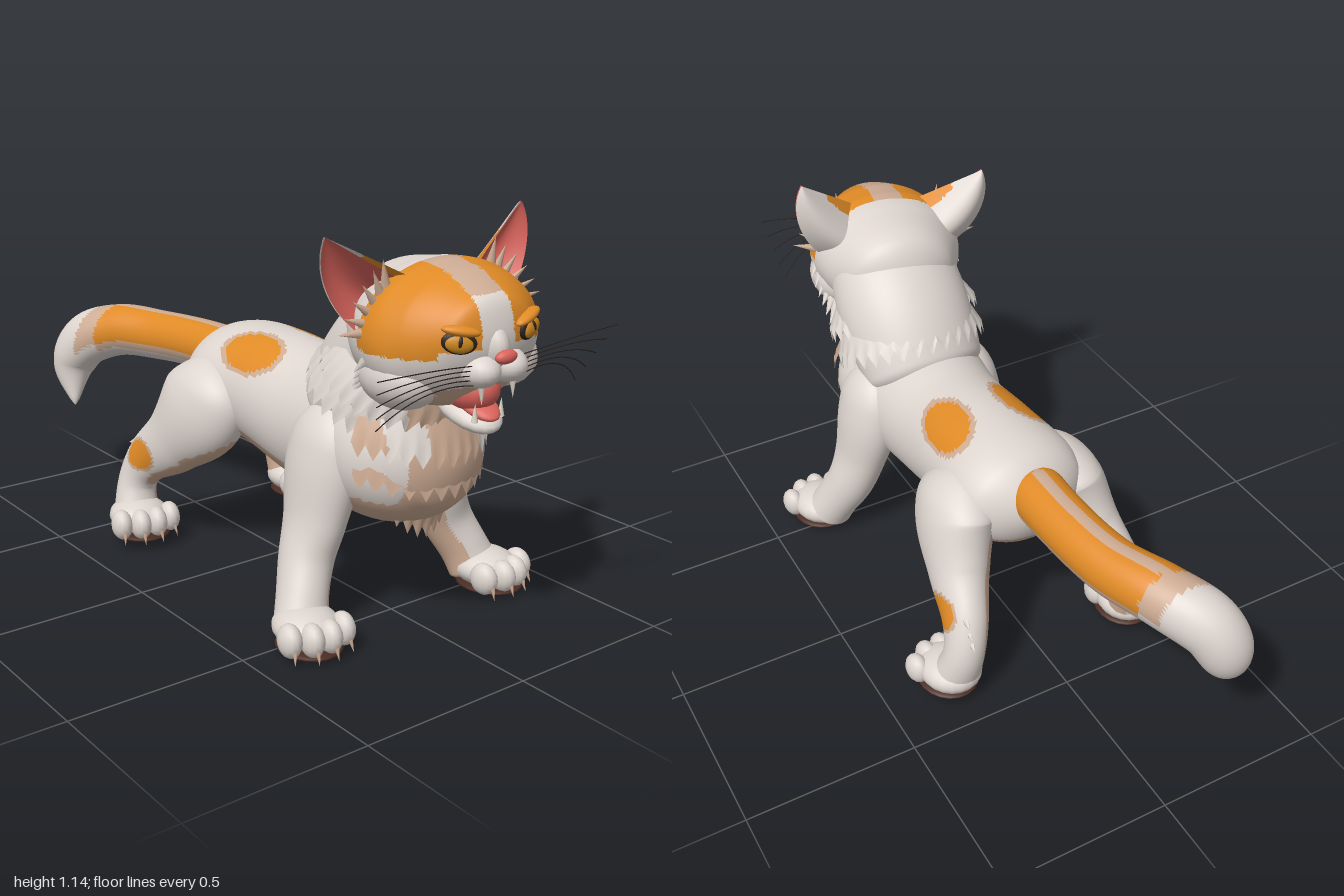
import * as THREE from 'three';

const flat = (name, color) => {
  const m = new THREE.MeshStandardMaterial({ color, side: THREE.DoubleSide });
  m.name = name;
  return m;
};
const M = {
  white: flat('white fur', 0xddd4ce), tan: flat('tan fur', 0xcdab93), orange: flat('orange fur', 0xdf8a26),
  pink: flat('pink skin', 0xd9635b), amber: flat('amber iris', 0xd08a20), dark: flat('dark lines', 0x2c211c),
  pad: flat('paw pad', 0x4a2c22), ivory: flat('ivory tooth', 0xeae2d4),
};
const V = (x, y, z = 0) => new THREE.Vector3(x, y, z);
const Z = V(0, 0, 1);

function add(parent, name, geo, mat) {
  const mesh = new THREE.Mesh(geo, mat);
  mesh.name = name;
  parent.add(mesh);
  return mesh;
}

// Grid surface from a point function; columns wrap round when closed
function grid(rows, cols, closed, point) {
  const pos = [], idx = [], n = closed ? cols : cols + 1;
  for (let i = 0; i <= rows; i++)
    for (let j = 0; j < n; j++) pos.push(...point(i / rows, j / cols, j).toArray());
  for (let i = 0; i < rows; i++)
    for (let j = 0; j < cols; j++) {
      const a = i * n + j, b = i * n + (j + 1) % n;
      idx.push(a, a + n, b, b, a + n, b + n);
    }
  const g = new THREE.BufferGeometry();
  g.setAttribute('position', new THREE.Float32BufferAttribute(pos, 3));
  g.setIndex(idx);
  g.computeVertexNormals();
  return g;
}

// Rounded sweep through stations [x, y, z, half height, half width]
function loft(stations, rows, cols, startRound = 0.1, endRound = 0.1) {
  const path = new THREE.CatmullRomCurve3(stations.map(s => V(s[0], s[1], s[2])), false, 'catmullrom', 0.5);
  const size = new THREE.CatmullRomCurve3(stations.map(s => V(s[3], s[4])), false, 'catmullrom', 0.5);
  const dome = q => Math.sqrt(Math.max(0, 1 - (1 - Math.min(1, q)) ** 2));
  return grid(rows, cols, true, (t, v) => {
    const u = 0.5 * t + 0.25 * (1 - Math.cos(Math.PI * t));
    const T = path.getTangent(u), B = Z.clone().addScaledVector(T, -T.z).normalize(), N = B.clone().cross(T);
    const k = dome(u / startRound) * dome((1 - u) / endRound), r = size.getPoint(u), a = v * Math.PI * 2;
    return path.getPoint(u).addScaledVector(N, r.x * k * Math.sin(a)).addScaledVector(B, r.y * k * Math.cos(a));
  });
}

// Sort faces into colours by a rule on face centre and normal
function paint(parent, name, geo, rule) {
  const p = geo.attributes.position, src = geo.index.array, bins = {}, tri = new THREE.Triangle();
  const c = V(0, 0), n = V(0, 0);
  for (let i = 0; i < src.length; i += 3) {
    tri.setFromAttributeAndIndices(p, src[i], src[i + 1], src[i + 2]);
    tri.getMidpoint(c);
    tri.getNormal(n);
    (bins[rule(c, n)] ??= []).push(src[i], src[i + 1], src[i + 2]);
  }
  const keys = Object.keys(bins);
  let start = 0;
  keys.forEach((k, i) => { geo.addGroup(start, bins[k].length, i); start += bins[k].length; });
  geo.setIndex(keys.flatMap(k => bins[k]));
  return add(parent, name, geo, keys.map(k => M[k]));
}

function ball(parent, name, mat, c, r, seg = 20) {
  const m = add(parent, name, new THREE.SphereGeometry(1, seg, Math.ceil(seg * 0.7)), mat);
  m.position.set(...c);
  m.scale.set(...r);
  return m;
}

function spike(parent, name, mat, base, dir, len, r) {
  const d = V(...dir).normalize();
  const m = add(parent, name, new THREE.ConeGeometry(r, len, 8), mat);
  m.quaternion.setFromUnitVectors(V(0, 1), d);
  m.position.set(...base).addScaledVector(d, len / 2);
  return m;
}

// Fur layer: band around an axis with a toothed free edge
function skirt(parent, name, c, dir, [a, b], len, flare, arc, drop, teeth, rule) {
  const D = V(...dir).normalize(), N = Z.clone().cross(D);
  const geo = grid(4, teeth * 4, false, (t, v, j) => {
    const th = Math.PI / 2 + (v - 0.5) * arc;
    const tooth = 1 - Math.abs((j % 4) - 2) / 2;
    const k = 1 + (flare - 1) * t;
    const reach = len * (0.62 * t + 0.38 * tooth * t ** 3) + drop * Math.max(0, Math.sin(th)) ** 3 * t;
    return V(...c).addScaledVector(N, a * k * Math.sin(th)).addScaledVector(Z, b * k * Math.cos(th)).addScaledVector(D, reach);
  });
  return paint(parent, name, geo, rule);
}

const spot = (p, c, r) => Math.hypot((p.x - c[0]) / r[0], (p.y - c[1]) / r[1], (Math.abs(p.z) - c[2]) / r[2]);
const patch = d => d < 1 ? 'orange' : d < 1.2 ? 'tan' : null;

function paw(parent, name, x, y, z, s) {
  const g = new THREE.Group();
  g.name = name;
  g.position.set(x, y, z);
  g.rotation.y = -0.15 * s;
  parent.add(g);
  ball(g, 'foot', M.white, [0, 0.062, 0], [0.098, 0.054, 0.09]);
  ball(g, 'pad', M.pad, [0.015, 0.016, 0], [0.1, 0.015, 0.088]);
  for (let k = -1.5; k <= 1.5; k++) {
    const tx = 0.082 - 0.012 * k * k, tz = k * 0.052;
    ball(g, 'toe', M.white, [tx, 0.06, tz], [0.043, 0.046, 0.031], 14);
    spike(g, 'claw', M.tan, [tx + 0.027, 0.06, tz], [0.35, -1, 0.1 * k], 0.055, 0.011);
  }
}

function buildHead(parent) {
  const head = new THREE.Group();
  head.name = 'head';
  head.position.set(0.64, 0.84, 0.02);
  head.rotation.set(0.08, -0.155, 0);
  parent.add(head);

  const skull = paint(head, 'skull', loft([
    [-0.2, 0, 0, 0.1, 0.12], [-0.1, 0.01, 0, 0.15, 0.18], [0, 0.005, 0, 0.175, 0.225], [0.1, 0.01, 0, 0.18, 0.235],
    [0.18, 0.025, 0, 0.158, 0.2], [0.25, 0.035, 0, 0.115, 0.14], [0.3, 0.035, 0, 0.07, 0.085],
  ], 90, 96, 0.12, 0.12), (p, n) => {
    const z = Math.abs(p.z);
    if (p.x > 0.04 && p.y > 0.02 - (z > 0.14 ? 0.02 : 0) && z > 0.045) return 'orange';
    if (p.x > 0.04 && p.y > 0.14) return 'tan';
    return n.y < -0.6 || (p.y < -0.06 && z > 0.17 && n.x > 0.2) ? 'tan' : 'white';
  });
  const ray = new THREE.Raycaster();

  // Muzzle and open mouth
  ball(head, 'noseBridge', M.white, [0.235, 0.015, 0], [0.085, 0.07, 0.045]);
  ball(head, 'nose', M.pink, [0.323, 0.002, 0], [0.016, 0.017, 0.03]);
  ball(head, 'mouth', M.pink, [0.175, -0.11, 0], [0.085, 0.062, 0.068]);
  ball(head, 'lowerJaw', M.white, [0.16, -0.165, 0], [0.115, 0.036, 0.07]).rotation.z = -0.3;
  ball(head, 'tongue', M.pink, [0.195, -0.145, 0], [0.085, 0.02, 0.045]).rotation.z = -0.3;

  for (const s of [1, -1]) {
    ball(head, 'muzzlePad', M.white, [0.262, -0.036, 0.038 * s], [0.066, 0.044, 0.05]);
    ball(head, 'cheek', M.white, [0.08, -0.075, 0.14 * s], [0.13, 0.085, 0.095]);
    spike(head, 'upperFang', M.ivory, [0.285, -0.06, 0.045 * s], [0, -1, 0], 0.06, 0.011);
    spike(head, 'lowerFang', M.ivory, [0.245, -0.175, 0.038 * s], [0.1, 1, 0], 0.05, 0.009);

    // Eye seated on the skull surface
    ray.set(V(1, 0.045, 0.1 * s), V(-1, 0));
    const hit = ray.intersectObject(skull)[0];
    const eye = new THREE.Group();
    eye.name = 'eye';
    eye.position.copy(hit.point);
    eye.quaternion.setFromUnitVectors(V(1, 0), hit.face.normal);
    eye.rotateX(-0.22 * s);
    head.add(eye);
    ball(eye, 'eyeRim', M.dark, [0, 0, 0], [0.011, 0.028, 0.043]);
    ball(eye, 'iris', M.amber, [0.002, -0.002, 0], [0.014, 0.023, 0.036]);
    ball(eye, 'pupil', M.dark, [0.008, 0.002, 0], [0.01, 0.016, 0.008], 12);
    ball(eye, 'brow', M.orange, [-0.001, 0.028, 0], [0.02, 0.013, 0.048]);

    // Cupped ear: fur shell with a pink lining
    const inner = new THREE.QuadraticBezierCurve3(V(0.09, 0.145, 0.075 * s), V(0.05, 0.2, 0.16 * s), V(0, 0.275, 0.285 * s));
    const outer = new THREE.CubicBezierCurve3(V(0.03, 0.02, 0.21 * s), V(0.0, 0.09, 0.29 * s), V(0, 0.2, 0.325 * s), V(0, 0.275, 0.285 * s));
    const ear = (lo, dx) => grid(20, 24, false, (t, v) => {
      const q = lo + (1 - lo) * v, bulge = Math.sin(Math.PI * q) * (1 - t) ** 0.8;
      const p = inner.getPoint(t).lerp(outer.getPoint(t), q);
      return p.add(V(-0.1 * bulge + dx, 0.015 * bulge, 0.01 * s * bulge));
    });
    paint(head, 'earShell', ear(0, 0), p => p.x > 0.02 && p.y > 0.12 && Math.abs(p.z) < 0.2 ? 'orange' : 'white');
    add(head, 'earLining', ear(0.1, 0.007), M.pink);
    for (let i = 0; i < 6; i++)
      spike(head, 'earTuft', M.tan, [0.05, 0.125 - i * 0.018, (0.15 + i * 0.012) * s], [0.15, 1 - i * 0.17, (0.15 + i * 0.16) * s], 0.09, 0.017);

    // Cheek fur and whiskers
    for (let i = 0; i < 7; i++)
      spike(head, 'cheekTuft', M.white, [0.08 - i * 0.018, 0.0 - i * 0.024, (0.205 - i * 0.007) * s], [-0.5, -0.75, 0.5 * s], 0.085, 0.024);
    for (let i = 0; i < 5; i++) {
      const y = -0.015 - i * 0.012;
      const curve = new THREE.QuadraticBezierCurve3(V(0.29, y, 0.07 * s), V(0.33 - i * 0.012, y + 0.03, 0.2 * s), V(0.31 - i * 0.025, 0.01 - i * 0.04, (0.34 - i * 0.012) * s));
      add(head, 'whisker', new THREE.TubeGeometry(curve, 12, 0.0014, 4), M.dark);
    }
  }
}

export function createModel() {
  const cat = new THREE.Group();
  cat.name = 'cat';

  // Torso and neck
  paint(cat, 'torso', loft([
    [-0.34, 0.54, 0, 0.1, 0.12], [-0.2, 0.525, 0, 0.16, 0.2], [0, 0.515, 0, 0.18, 0.19], [0.2, 0.485, 0, 0.195, 0.188],
    [0.4, 0.485, 0, 0.21, 0.21], [0.55, 0.495, 0, 0.205, 0.22], [0.66, 0.51, 0, 0.165, 0.165], [0.74, 0.52, 0, 0.1, 0.1],
  ], 130, 96, 0.1, 0.1), (p, n) => {
    const d = Math.min(spot(p, [0.01, 0.65, 0.12], [0.105, 0.06, 0.075]), spot(p, [0.4, 0.655, 0.155], [0.06, 0.07, 0.07]));
    return patch(d) ?? (n.y < -0.5 || (n.x > 0.3 && Math.abs(p.z) < 0.13) ? 'tan' : 'white');
  });
  paint(cat, 'neck', loft([
    [0.34, 0.54, 0, 0.14, 0.18], [0.44, 0.65, 0, 0.175, 0.2], [0.53, 0.75, 0, 0.18, 0.205], [0.64, 0.85, 0.01, 0.16, 0.19],
  ], 50, 60, 0.15, 0.1), (p, n) => n.x > 0.5 && n.y < -0.2 ? 'tan' : 'white');

  // Layered fur ruff and chest bib
  const ruffTone = p => p.x > 0.6 && Math.abs(p.z) < 0.13 ? 'tan' : 'white';
  const down = [-0.45, -0.89, 0];
  skirt(cat, 'upperRuff', [0.58, 0.765, 0.01], down, [0.165, 0.2], 0.11, 1.2, Math.PI * 2, 0, 30, ruffTone);
  skirt(cat, 'lowerRuff', [0.51, 0.71, 0], down, [0.185, 0.205], 0.11, 1.14, Math.PI * 2, 0, 32, ruffTone);
  const bibTone = p => Math.abs(p.z) > 0.08 && Math.abs(p.z) < 0.17 && p.y > 0.48 ? 'white' : 'tan';
  skirt(cat, 'upperBib', [0.52, 0.62, 0], [0, -1, 0], [0.2, 0.2], 0.1, 1.14, 2.6, 0.03, 14, bibTone);
  skirt(cat, 'middleBib', [0.51, 0.53, 0], [0, -1, 0], [0.215, 0.215], 0.1, 1.05, 2.5, 0.03, 13, bibTone);
  skirt(cat, 'lowerBib', [0.5, 0.43, 0], [0, -1, 0], [0.19, 0.19], 0.09, 0.7, 2.4, 0.08, 11, bibTone);
  for (let i = 0; i < 9; i++)
    spike(cat, 'bellyTuft', M.tan, [0.02 + i * 0.045, 0.345 - i * 0.006, (i % 3 - 1) * 0.05], [-0.7, -1, 0], 0.07, 0.025);

  // Legs and paws
  for (const s of [1, -1]) {
    const inside = (p, n) => n.z * s < -0.6 || n.y < -0.55 ? 'tan' : 'white';
    paint(cat, 'frontLeg', loft([
      [0.44, 0.62, 0.13 * s, 0.11, 0.09], [0.425, 0.45, 0.178 * s, 0.125, 0.09], [0.43, 0.3, 0.215 * s, 0.1, 0.075],
      [0.44, 0.2, 0.25 * s, 0.08, 0.073], [0.475, 0.11, 0.29 * s, 0.072, 0.07], [0.505, 0.04, 0.315 * s, 0.07, 0.078],
    ], 60, 48, 0.15, 0.06), inside);
    paint(cat, 'hindLeg', loft([
      [-0.12, 0.6, 0.13 * s, 0.13, 0.09], [-0.155, 0.46, 0.18 * s, 0.16, 0.105], [-0.25, 0.34, 0.22 * s, 0.11, 0.085],
      [-0.35, 0.255, 0.255 * s, 0.078, 0.065], [-0.388, 0.17, 0.28 * s, 0.06, 0.06], [-0.365, 0.06, 0.3 * s, 0.065, 0.075],
    ], 70, 48, 0.15, 0.06), (p, n) => patch(spot(p, [-0.32, 0.285, 0.31], [0.055, 0.045, 0.07])) ?? inside(p, n));
    paw(cat, 'frontPaw', 0.535, 0, 0.322 * s, s);
    paw(cat, 'hindPaw', -0.345, 0.02, 0.303 * s, s);
    for (let i = 0; i < 3; i++)
      spike(cat, 'hockTuft', M.white, [-0.36 - i * 0.015, 0.31 - i * 0.03, 0.27 * s], [-1, -0.3, 0.2 * s], 0.07, 0.025);
  }

  // Tail with orange sides and a white tip
  paint(cat, 'tail', loft([
    [-0.2, 0.57, 0.01, 0.08, 0.085], [-0.42, 0.565, 0.01, 0.078, 0.08], [-0.62, 0.555, 0.035, 0.08, 0.08], [-0.78, 0.55, 0.095, 0.085, 0.085],
    [-0.89, 0.505, 0.165, 0.088, 0.085], [-0.925, 0.41, 0.205, 0.066, 0.07], [-0.87, 0.29, 0.235, 0.006, 0.006],
  ], 100, 56, 0.08, 0.03), (p, n) => {
    if (p.x < -0.85) return 'white';
    if (p.x < -0.79) return n.y > -0.2 ? 'tan' : 'white';
    return n.y > 0.975 ? 'tan' : n.y > -0.25 ? 'orange' : n.y > -0.5 ? 'tan' : 'white';
  });

  buildHead(cat);
  return cat;
}
